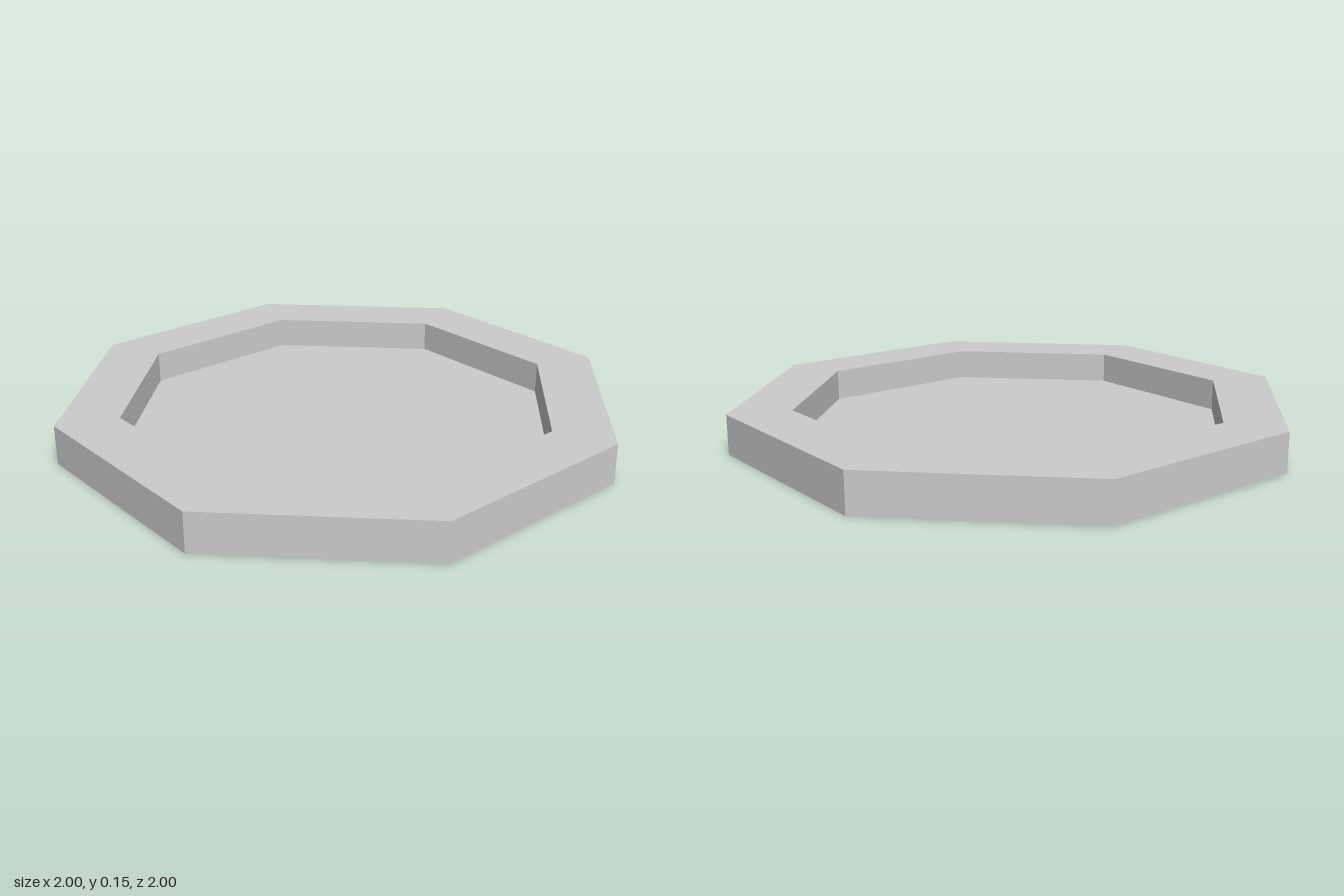
import * as THREE from 'three';

export function createModel() {
  const model = new THREE.Group();
  model.name = 'octagonalTray';

  const outer = 1.075, inner = 0.84; // corner radii
  const height = 0.15, floor = 0.03;
  const twist = THREE.MathUtils.degToRad(21.6);

  // Closed cross-section: underside, outer wall, rim, inner wall, floor
  const profile = [
    [0, 0], [outer, 0], [outer, height],
    [inner, height], [inner, floor], [0, floor],
  ].map(([r, y]) => new THREE.Vector2(r, y));

  // Eight flat sides, turned about the vertical axis
  const tray = new THREE.Mesh(
    new THREE.LatheGeometry(profile, 8, twist),
    new THREE.MeshStandardMaterial({ color: 0xcccccc, flatShading: true })
  );
  tray.name = 'tray';
  model.add(tray);

  return model;
}
